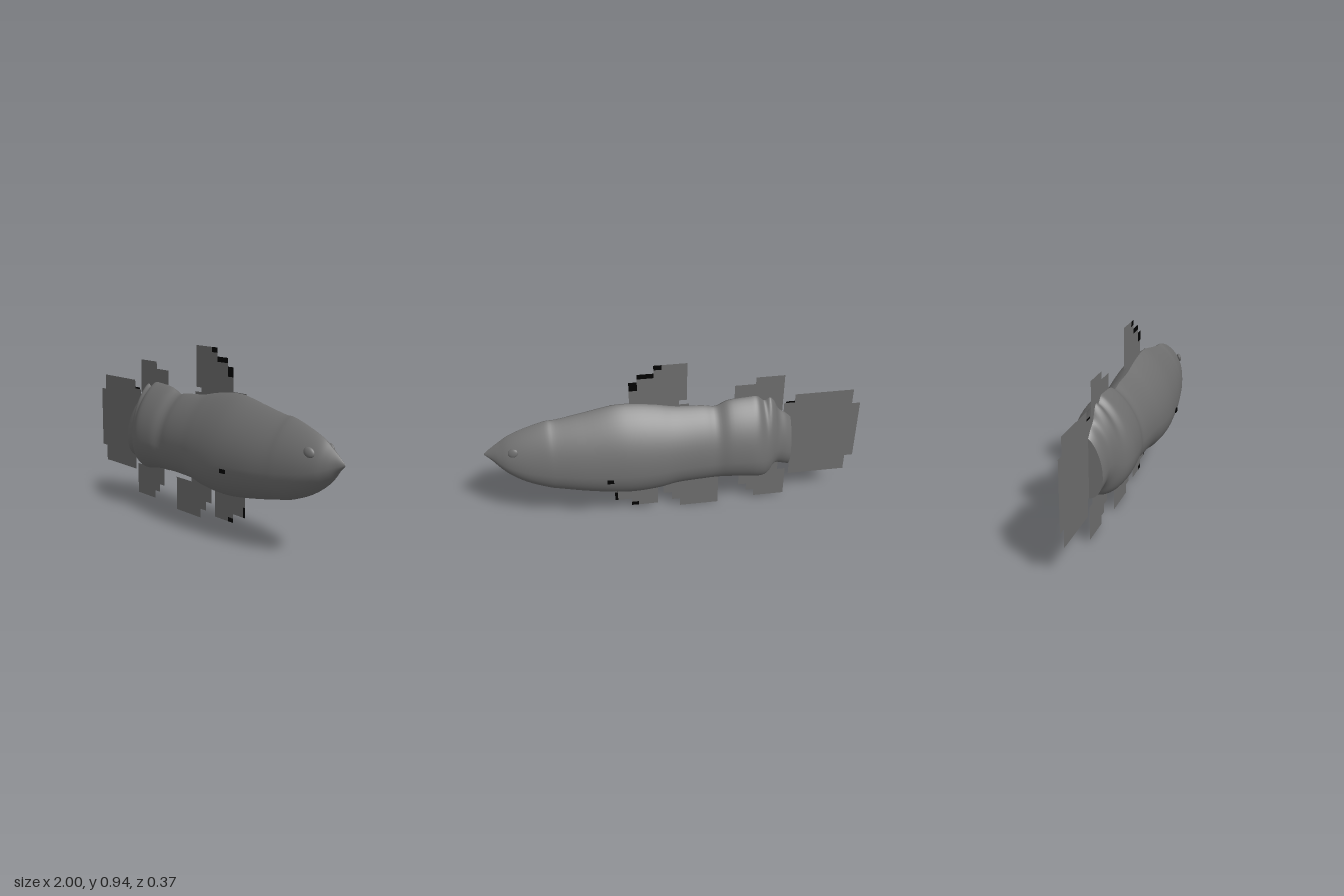
import * as THREE from 'three';

const bodyMat = new THREE.MeshStandardMaterial({ color: 0x6e6e6e });
bodyMat.name = 'grey skin';
const finMat = new THREE.MeshStandardMaterial({ color: 0x6e6e6e, side: THREE.DoubleSide });
finMat.name = 'grey fin';
const blackMat = new THREE.MeshStandardMaterial({ color: 0x000000, side: THREE.DoubleSide });
blackMat.name = 'black';

// body stations: x, top, bottom, half width
const stations = [
  [-0.62, 0.55, 0.245, 0.07], [-0.59, 0.58, 0.255, 0.078], [-0.55, 0.61, 0.265, 0.085],
  [-0.525, 0.66, 0.25, 0.1], [-0.5, 0.685, 0.212, 0.12], [-0.47, 0.67, 0.2, 0.137],
  [-0.43, 0.70, 0.205, 0.157], [-0.38, 0.70, 0.215, 0.165], [-0.28, 0.69, 0.225, 0.16],
  [-0.21, 0.66, 0.225, 0.148], [-0.14, 0.67, 0.225, 0.154], [0, 0.68, 0.22, 0.165],
  [0.1, 0.70, 0.2, 0.176], [0.22, 0.717, 0.19, 0.183], [0.33, 0.717, 0.195, 0.18],
  [0.49, 0.685, 0.22, 0.165], [0.62, 0.66, 0.245, 0.145], [0.68, 0.655, 0.257, 0.135],
  [0.79, 0.62, 0.30, 0.11], [0.87, 0.585, 0.35, 0.083], [0.92, 0.55, 0.395, 0.055],
  [0.96, 0.52, 0.44, 0.026], [1.0, 0.486, 0.478, 0.002],
];
const SIDES = 56;

// teardrop section: pointed ridge on top, elliptical belly
function ring([x, top, bottom, w]) {
  const mid = bottom + (top - bottom) * 0.37;
  return Array.from({ length: SIDES + 1 }, (_, j) => {
    const a = Math.PI / 2 + (j / SIDES) * Math.PI * 2;
    const s = Math.sin(a), c = Math.cos(a);
    const side = s > 0 ? Math.sign(c) * Math.abs(c) ** 1.6 : c;
    return [x, mid + s * (s > 0 ? top - mid : mid - bottom), w * side];
  });
}

function loft(sections) {
  const pos = [], idx = [], n = SIDES + 1;
  sections.forEach((s) => ring(s).forEach((p) => pos.push(...p)));
  for (let i = 0; i < sections.length - 1; i++) {
    for (let j = 0; j < SIDES; j++) {
      const a = i * n + j, b = a + n;
      idx.push(a, b, a + 1, b, b + 1, a + 1);
    }
  }
  const g = new THREE.BufferGeometry();
  g.setAttribute('position', new THREE.Float32BufferAttribute(pos, 3));
  g.setIndex(idx);
  g.computeVertexNormals();
  return g;
}

// smooth the stations along the body
function smoothStations(steps) {
  const curve = (f) => new THREE.CatmullRomCurve3(stations.map(f), false, 'catmullrom', 0.5);
  const outline = curve((s) => new THREE.Vector3(s[0], s[1], s[2]));
  const width = curve((s) => new THREE.Vector3(s[3], 0, 0));
  return Array.from({ length: steps + 1 }, (_, i) => {
    const p = outline.getPoint(i / steps);
    return [p.x, p.y, p.z, width.getPoint(i / steps).x];
  });
}

export function createModel() {
  const model = new THREE.Group();
  const add = (name, geo, mat) => {
    const m = new THREE.Mesh(geo, mat);
    m.name = name;
    model.add(m);
    return m;
  };
  // flat stepped outline in the middle plane
  const plate = (name, pts, mat = finMat) =>
    add(name, new THREE.ShapeGeometry(new THREE.Shape(pts.map(([x, y]) => new THREE.Vector2(x, y)))), mat);
  const patch = (name, x0, y0, x1, y1) =>
    plate(name, [[x0, y0], [x1, y0], [x1, y1], [x0, y1]], blackMat);

  // body and flat tail end
  add('body', loft(smoothStations(110)), bodyMat);
  add('bodyEnd', loft([[-0.62, 0.4, 0.4, 0], stations[0]]), bodyMat);

  // eyes
  for (const side of [1, -1]) {
    const eye = add(side > 0 ? 'frontEye' : 'backEye', new THREE.SphereGeometry(1, 20, 14), bodyMat);
    eye.scale.set(0.029, 0.023, 0.011);
    eye.position.set(0.847, 0.526, side * 0.073);
    eye.rotation.set(-side * 0.25, side * 0.35, -0.4);
  }

  // stepped fins
  plate('tailFin', [[-1, 0.25], [-0.955, 0.25], [-0.955, 0.158], [-0.637, 0.158], [-0.637, 0.25],
    [-0.58, 0.25], [-0.58, 0.64], [-0.637, 0.64], [-0.637, 0.69], [-0.955, 0.69], [-0.955, 0.602], [-1, 0.602]]);
  plate('rearDorsalFin', [[-0.572, 0.56], [-0.31, 0.56], [-0.31, 0.776], [-0.42, 0.776], [-0.42, 0.816], [-0.572, 0.816]]);
  plate('frontDorsalFin', [[-0.06, 0.715], [-0.017, 0.715], [-0.017, 0.6], [0.24, 0.6], [0.24, 0.795],
    [0.197, 0.795], [0.197, 0.863], [0.112, 0.863], [0.112, 0.909], [0.07, 0.909], [0.07, 0.936], [-0.06, 0.936]]);
  plate('dorsalRidge', [[-0.07, 0.6], [0.34, 0.6], [0.34, 0.722], [0.24, 0.722], [0.1, 0.69], [-0.07, 0.69]]);
  plate('rearAnalFin', [[-0.617, 0.02], [-0.445, 0.02], [-0.445, 0.065], [-0.4, 0.065], [-0.4, 0.11],
    [-0.355, 0.11], [-0.355, 0.21], [-0.31, 0.21], [-0.31, 0.3], [-0.573, 0.3], [-0.573, 0.196], [-0.617, 0.196]]);
  plate('middleVentralFin', [[-0.24, 0], [-0.025, 0], [-0.025, 0.05], [0.02, 0.05], [0.02, 0.1], [0.066, 0.1],
    [0.066, 0.3], [-0.107, 0.3], [-0.107, 0.187], [-0.24, 0.187]]);
  plate('frontVentralFin', [[0.098, 0.035], [0.205, 0.035], [0.205, 0.058], [0.245, 0.058], [0.245, 0.082],
    [0.32, 0.082], [0.32, 0.136], [0.336, 0.136], [0.336, 0.26], [0.098, 0.26]]);

  // black corners on the fins
  patch('tailTip', -0.637, 0.64, -0.59, 0.65);
  patch('dorsalTipTop', 0.07, 0.909, 0.112, 0.936);
  patch('dorsalTipMiddle', 0.112, 0.863, 0.197, 0.89);
  patch('dorsalTipLow', 0.197, 0.795, 0.24, 0.846);
  patch('ventralTipLow', 0.205, 0.035, 0.245, 0.058);
  patch('ventralTipFront', 0.32, 0.082, 0.336, 0.136);

  // small dark spot on each flank
  for (const side of [1, -1]) {
    const spot = add(side > 0 ? 'frontSpot' : 'backSpot', new THREE.BoxGeometry(0.035, 0.02, 0.008), blackMat);
    spot.position.set(0.365, 0.362, side * 0.178);
  }
  return model;
}
